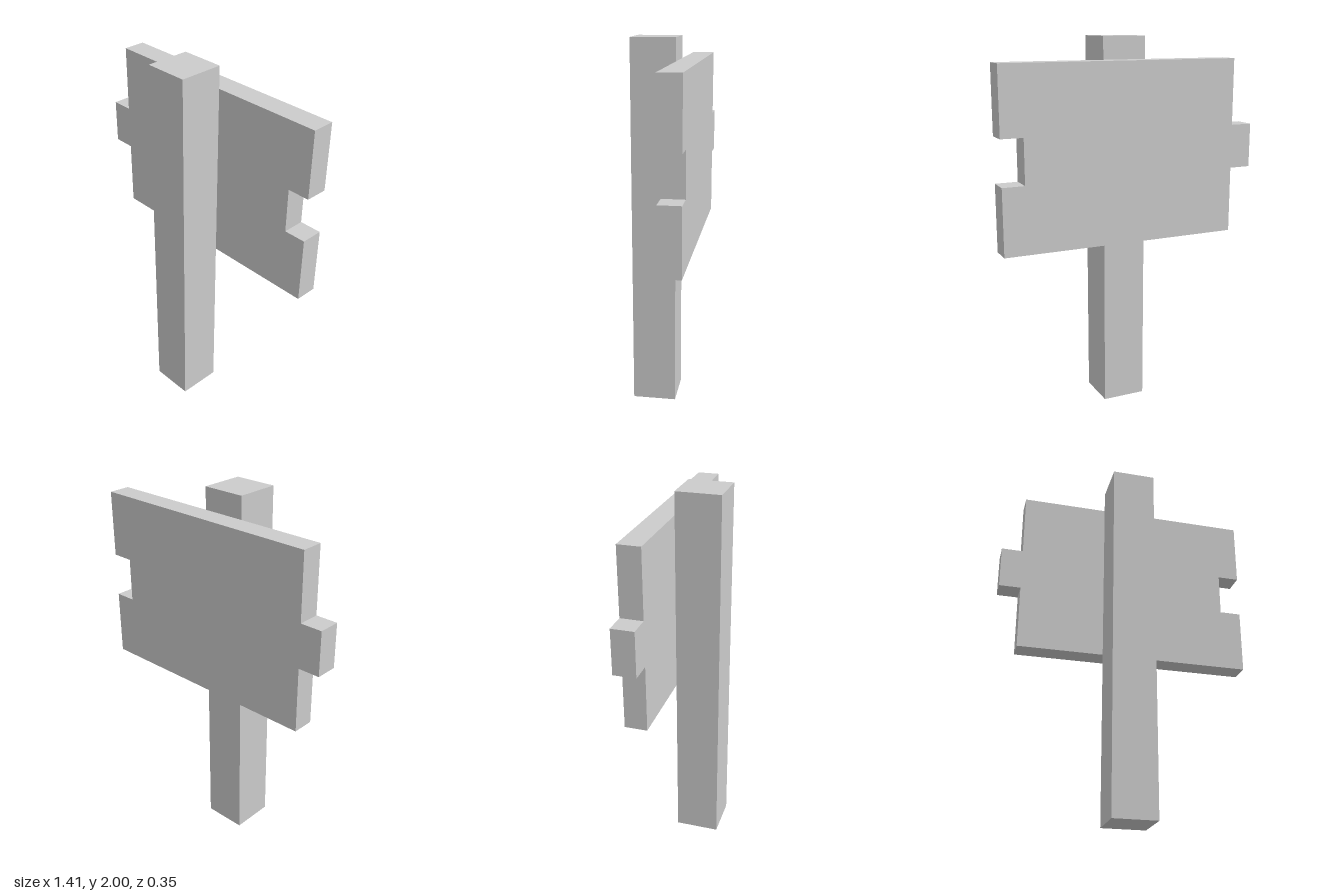
import * as THREE from 'three';

const U = 2 / 17; // modelling grid unit

export function createModel() {
  const model = new THREE.Group();
  model.name = 'signpost';
  const material = new THREE.MeshStandardMaterial({ color: 0xcccccc, flatShading: true });

  // Square upright post
  const post = new THREE.Mesh(new THREE.BoxGeometry(2 * U, 17 * U, 2 * U), material);
  post.name = 'post';
  post.position.set(0, 8.5 * U, 0.5 * U);
  model.add(post);

  // Sign board behind the post: tab on its right edge, matching notch on its left
  const outline = [
    [-5, 8], [6, 8], [6, 11], [5, 11], [5, 13], [6, 13],
    [6, 16], [-5, 16], [-5, 13], [-6, 13], [-6, 11], [-5, 11],
  ].map(([x, y]) => new THREE.Vector2(x * U, y * U));
  const board = new THREE.Mesh(
    new THREE.ExtrudeGeometry(new THREE.Shape(outline), { depth: U, bevelEnabled: false }),
    material
  );
  board.name = 'signBoard';
  board.position.z = -1.5 * U;
  model.add(board);

  return model;
}
